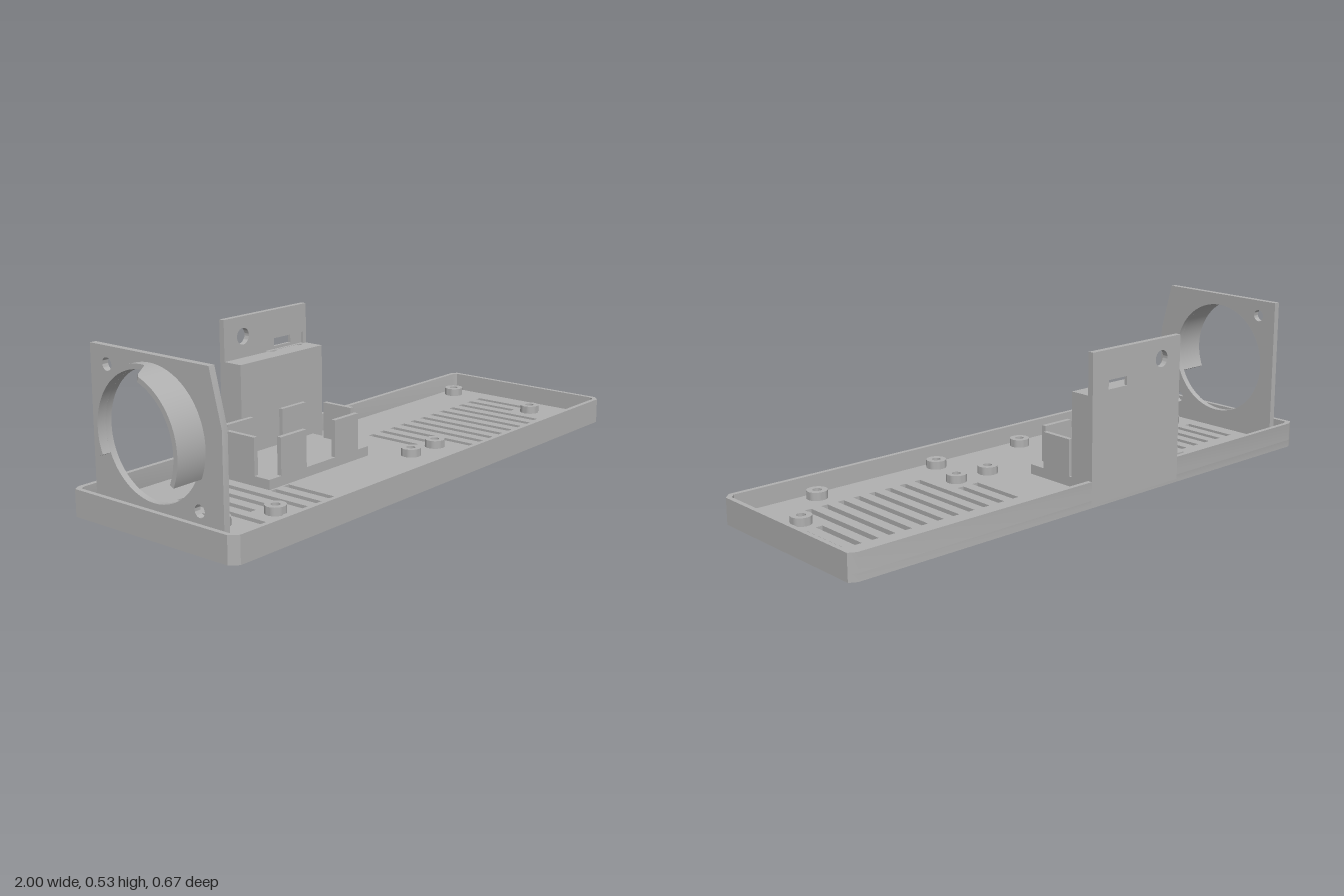
import * as THREE from 'three';
import { toCreasedNormals } from 'three/addons/utils/BufferGeometryUtils.js';

const FLOOR = 0.025, RIM = 0.087;
const poly = pts => pts.map(p => new THREE.Vector2(...p));
const rect = (x0, y0, x1, y1) => new THREE.Path(poly([[x0, y0], [x1, y0], [x1, y1], [x0, y1]]));
const circle = (x, y, r) => new THREE.Path().absarc(x, y, r, 0, Math.PI * 2, false);

export function createModel() {
  const grey = new THREE.MeshStandardMaterial({ color: 0xb0b0b0 });
  grey.name = 'grey plastic';
  const model = new THREE.Group();
  model.name = 'enclosureTray';

  const add = (name, geometry) => {
    const mesh = new THREE.Mesh(geometry, grey);
    mesh.name = name;
    model.add(mesh);
    return mesh;
  };
  const extrude = (pts, holes, depth) => {
    const shape = new THREE.Shape(poly(pts));
    shape.holes = holes;
    const g = new THREE.ExtrudeGeometry(shape, { depth, bevelEnabled: false, curveSegments: 32 });
    return toCreasedNormals(g, 0.6);
  };
  // Horizontal slab: shape coordinates are (x, -z), raised from y0 to y1
  const slab = (name, pts, holes, y0, y1) =>
    add(name, extrude(pts, holes, y1 - y0).rotateX(-Math.PI / 2).translate(0, y0, 0));
  const box = (name, x0, x1, y0, y1, z0, z1) =>
    add(name, new THREE.BoxGeometry(x1 - x0, y1 - y0, z1 - z0)
      .translate((x0 + x1) / 2, (y0 + y1) / 2, (z0 + z1) / 2));

  // Tray outline with chamfered corners, inset by t
  const outline = t => {
    const l = -0.95 + t, r = 1 - t, b = -0.335 + t, f = 0.335 - t, c = 0.025 - t * 0.5, d = 0.014 - t * 0.3;
    return [[l + c, b], [r - c, b], [r, b + c], [r, f - d], [r - c, f], [l + c, f], [l, f - d], [l, b + c]];
  };

  // Vent slots: x, front-most and rear-most z
  const slots = [
    [-0.81, -0.15, 0.05], [-0.75, -0.15, 0.05], [-0.69, -0.15, 0.2], [-0.63, -0.15, 0.1],
    [-0.568, -0.15, 0.1], [-0.508, -0.15, 0.2], [-0.446, 0.01, 0.2], [-0.386, 0.01, 0.2],
  ];
  for (let i = 0; i < 12; i++) {
    slots.push([0.235 + i * 0.0607, -0.15, i < 2 || i > 9 ? 0.05 : 0.2]);
  }
  const posts = [
    [-0.51, -0.27], [0.907, -0.27], [-0.78, 0.11], [-0.6, 0.163], [0.128, 0.11], [0.263, 0.11],
    [0.865, 0.11], [-0.647, 0.277], [-0.166, 0.277], [0.214, 0.277], [0.695, 0.277],
  ];
  slab('trayFloor', outline(0), [
    ...slots.map(([x, z0, z1]) => rect(x - 0.012, -z1, x + 0.012, -z0)),
    ...posts.map(([x, z]) => circle(x, -z, 0.025)),
  ], 0, FLOOR);
  slab('trayWall', outline(0), [new THREE.Path(poly(outline(0.016)))], FLOOR, RIM);

  // Screw posts, hollow through the middle
  for (const [x, z] of posts) {
    const p = (r, y) => new THREE.Vector2(r, y);
    const ring = new THREE.LatheGeometry(
      [p(0.015, FLOOR - 0.006), p(0.034, FLOOR - 0.006), p(0.034, 0.052), p(0.015, 0.052), p(0.015, FLOOR - 0.006)], 28);
    add('screwPost', toCreasedNormals(ring, 0.6).translate(x, 0, z));
  }

  // Fan plate, shape coordinates are (-z, y)
  const cy = 0.288, cz = -0.035;
  add('fanPlate', extrude(
    [[-0.245, 0.02], [0.288, 0.02], [0.288, 0.527], [-0.2, 0.527], [-0.245, 0.355]],
    [circle(-cz, cy, 0.199), circle(0.217, 0.472, 0.02), circle(-0.15, 0.105, 0.02)], 0.022)
    .rotateY(Math.PI / 2).translate(-0.895, 0, 0));

  // Fan shroud: partial ring that steps out to a long lip on the front side
  const pos = [], idx = [], N = 72, a0 = -0.422, a1 = Math.PI + 0.422;
  for (let i = 0; i <= N; i++) {
    const a = a0 + (a1 - a0) * i / N, c = Math.cos(a), s = Math.sin(a);
    const k = THREE.MathUtils.clamp((cz + 0.215 * c + 0.02) / 0.05, 0, 1);
    const far = -0.925 - 0.075 * k;
    for (const [x, r] of [[-0.893, 0.199], [far, 0.199], [far, 0.215], [-0.893, 0.215]]) {
      pos.push(x, cy + r * s, cz + r * c);
    }
    if (i === N) break;
    for (let j = 0; j < 4; j++) {
      const p = i * 4 + j, q = i * 4 + (j + 1) % 4;
      idx.push(p, q, q + 4, p, q + 4, p + 4);
    }
  }
  const e = N * 4;
  idx.push(0, 2, 1, 0, 3, 2, e, e + 1, e + 2, e, e + 2, e + 3);
  const shroud = new THREE.BufferGeometry();
  shroud.setAttribute('position', new THREE.Float32BufferAttribute(pos, 3));
  shroud.setIndex(idx);
  add('fanShroud', toCreasedNormals(shroud, 0.6));

  // Rear bracket: two layers so the slot sits in a shallow recess
  const back = [[-0.32, 0.01], [0.08, 0.01], [0.08, 0.502], [-0.32, 0.502]];
  const screw = () => circle(-0.232, 0.435, 0.028);
  add('bracketRear', extrude(back, [screw(), rect(-0.072, 0.374, 0.01, 0.404)], 0.01).translate(0, 0, -0.335));
  add('bracketFront', extrude(back, [screw(), rect(-0.122, 0.364, 0.065, 0.404)], 0.01).translate(0, 0, -0.325));
  slab('bracketBlock', [[-0.32, 0.243], [0.08, 0.243], [0.08, 0.315], [-0.32, 0.315]],
    [-0.095, 0.038].map(x => rect(x - 0.01, 0.302, x + 0.01, 0.313)), 0.01, 0.363);

  // Module holder: raised pad with upright tabs on all four sides
  box('holderPad', -0.455, 0.03, 0.015, 0.058, -0.245, 0.003);
  for (const [x0, x1] of [[-0.4, -0.28], [-0.14, -0.022]]) {
    box('holderFrontTab', x0, x1, 0.05, 0.183, -0.013, 0.003);
    box('holderRearTab', x0, x1, 0.05, 0.183, -0.245, -0.228);
  }
  for (const x of [-0.455, 0.014]) box('holderSideTab', x, x + 0.016, 0.05, 0.183, -0.18, -0.06);

  return model;
}
